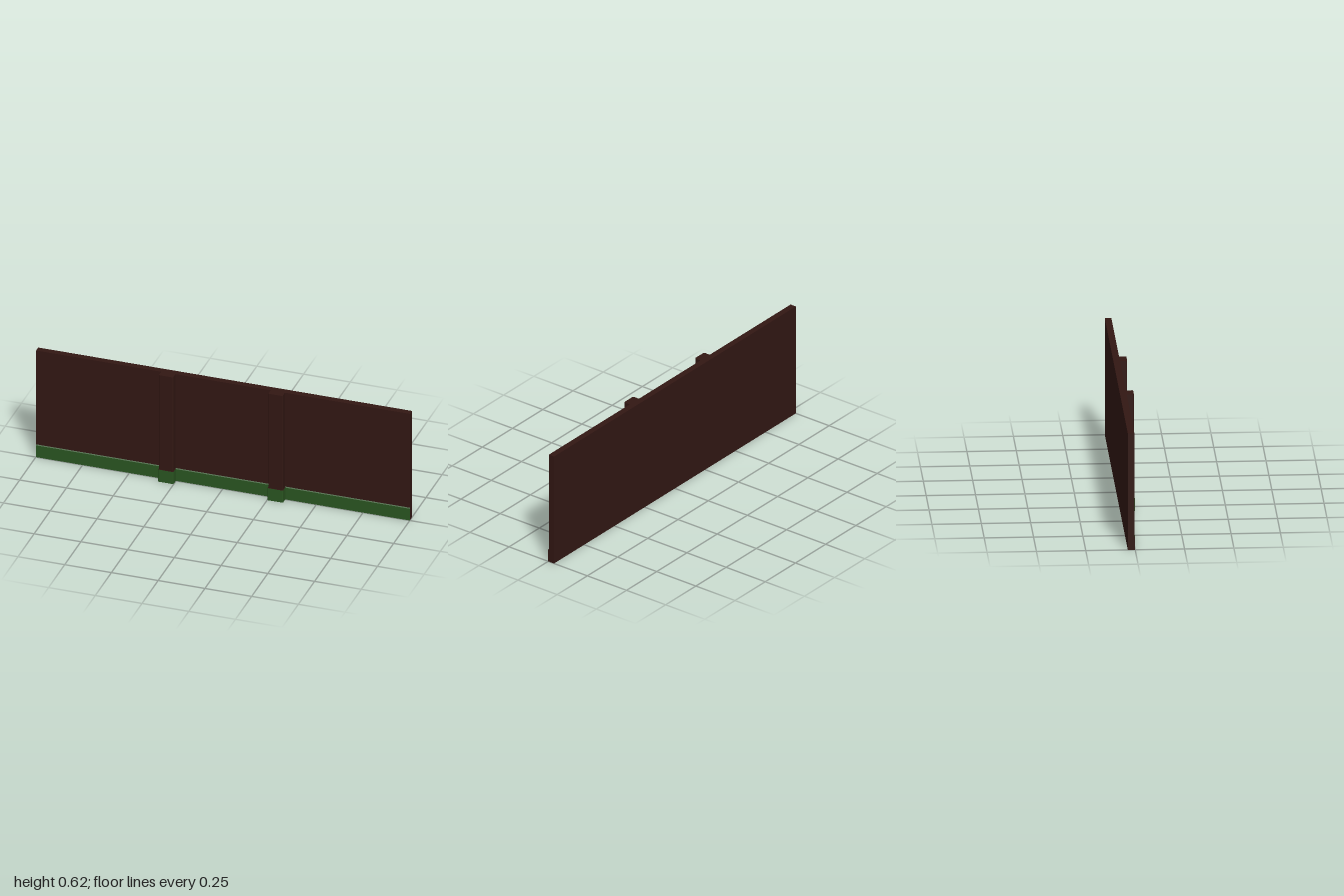
import * as THREE from 'three';

const brown = new THREE.MeshStandardMaterial({ color: 0x321713 });
const green = new THREE.MeshStandardMaterial({ color: 0x295420 });

const BACK = -0.037, WALL = -0.004, SKIRT_TOP = 0.072;

function add(parent, name, geometry, material) {
  const mesh = new THREE.Mesh(geometry, material);
  mesh.name = name;
  parent.add(mesh);
  return mesh;
}

// Upright post against the wall with small chamfers on its front corners
function post(width, front, y0, y1) {
  const h = width / 2, c = 0.004;
  const shape = new THREE.Shape([
    [-h, -front + c], [-h + c, -front], [h - c, -front],
    [h, -front + c], [h, -WALL], [-h, -WALL],
  ].map(([x, y]) => new THREE.Vector2(x, y)));
  return new THREE.ExtrudeGeometry(shape, { depth: y1 - y0, bevelEnabled: false })
    .rotateX(-Math.PI / 2)
    .translate(0, y0, 0);
}

export function createModel() {
  const group = new THREE.Group();
  group.name = 'wallPanel';

  // Flat wall
  const wall = new THREE.BoxGeometry(2, 0.616, WALL - BACK);
  add(group, 'wall', wall.translate(0, 0.308, (WALL + BACK) / 2), brown);

  // Skirting strip: sloped top edge, wall-coloured ends and underside
  const skirt = new THREE.BoxGeometry(2, SKIRT_TOP, -WALL).translate(0, SKIRT_TOP / 2, WALL / 2);
  const p = skirt.attributes.position;
  for (let i = 0; i < p.count; i++) {
    if (p.getZ(i) > -0.001 && p.getY(i) > 0.01) p.setY(i, SKIRT_TOP - 0.004);
  }
  skirt.computeVertexNormals();
  add(group, 'skirting', skirt, [brown, brown, green, brown, green, brown]);

  // Two pilasters, each with its own skirting block
  for (const side of [-1, 1]) {
    const pilaster = new THREE.Group();
    pilaster.name = side > 0 ? 'leftPilaster' : 'rightPilaster';
    pilaster.position.x = side * 0.293;
    add(pilaster, 'pilasterShaft', post(0.076, 0.033, SKIRT_TOP - 0.002, 0.616), brown);
    add(pilaster, 'pilasterSkirting', post(0.083, 0.037, 0, 0.07), [brown, green]);
    group.add(pilaster);
  }
  return group;
}
